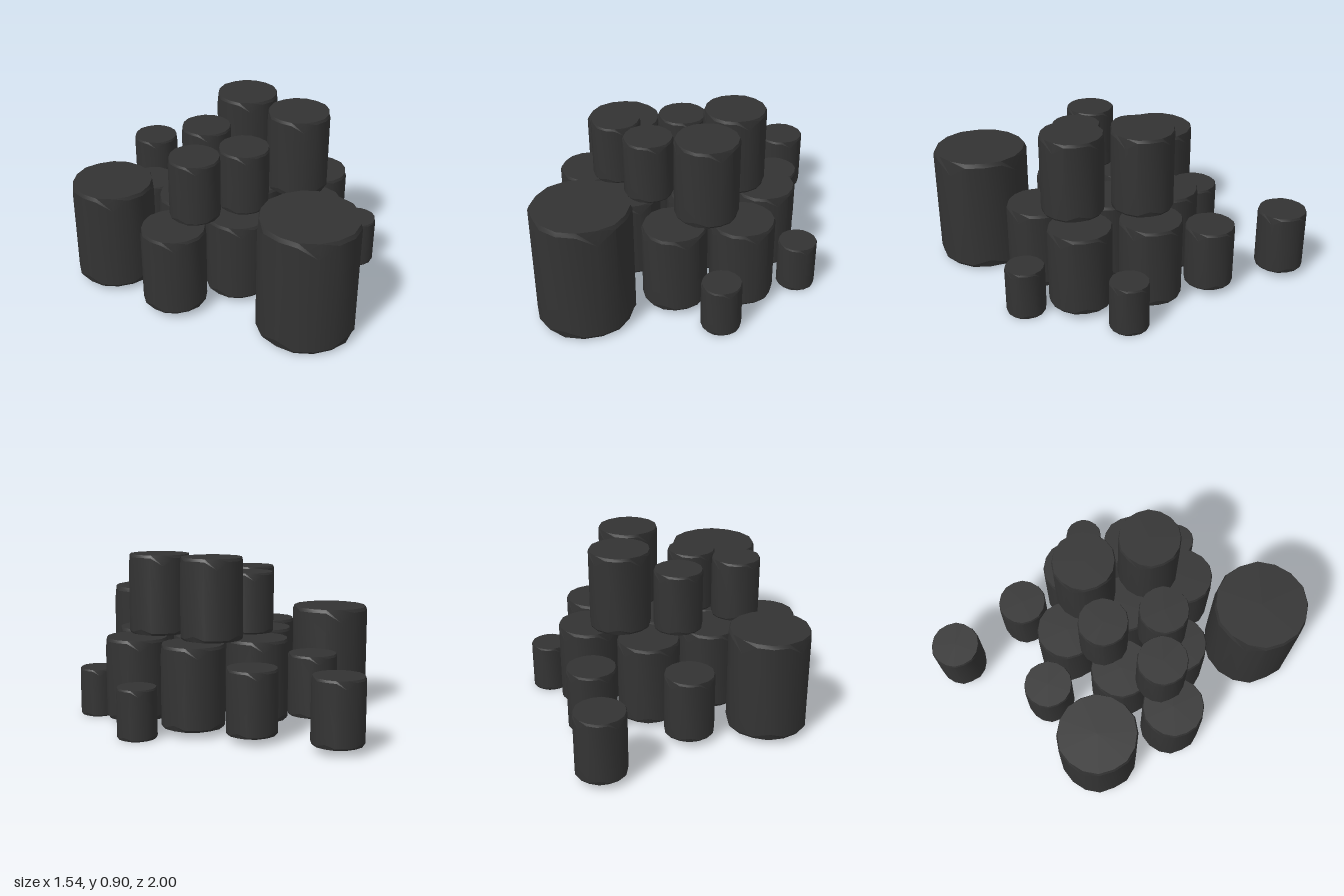
import * as THREE from 'three';
import { toCreasedNormals } from 'three/addons/utils/BufferGeometryUtils.js';

const SIDES = 16;

// Unit canister (radius 1, height 1): worn rims, with dents running down from the top edge
function canisterGeometry() {
  const profile = [[0, 0], [0.96, 0], [1, 0.025], [1, 0.965], [0.965, 1], [0, 1]]
    .map(([x, y]) => new THREE.Vector2(x, y));
  const geo = new THREE.LatheGeometry(profile, SIDES);
  const pos = geo.attributes.position;
  const n = profile.length;
  for (let k = 0; k < pos.count; k++) {
    const i = Math.floor(k / n) % SIDES;
    const j = k % n;
    // slightly irregular outline
    const wobble = 1 + 0.012 * Math.sin(i * 2.4 + 1);
    pos.setX(k, pos.getX(k) * wobble);
    pos.setZ(k, pos.getZ(k) * wobble);
    // four dents at the upper rim, smaller chips at the lower one
    if (j === 3 && i % 4 === 2) pos.setY(k, 0.87);
    if (j === 2 && i % 4 === 0) pos.setY(k, 0.07);
  }
  return toCreasedNormals(geo, 0.5);
}

export function createModel() {
  const model = new THREE.Group();
  const material = new THREE.MeshStandardMaterial({ color: 0x333333 });
  const unit = canisterGeometry();

  // kind: radius, bottom, top and the [x, z] centres
  const kinds = [
    { name: 'largeDrum', r: 0.258, y0: 0.01, y1: 0.655, at: [[-0.292, 0.738]] },
    { name: 'wideDrum', r: 0.218, y0: 0.03, y1: 0.58, at: [[-0.555, -0.36]] },
    {
      name: 'lowerCanister', r: 0.17, y0: 0.035, y1: 0.47,
      at: [[-0.565, 0.085], [-0.25, -0.08], [0.08, -0.26], [0.415, -0.08],
        [0.415, 0.297], [0.102, 0.47], [-0.25, 0.257], [0.09, 0.09]],
    },
    { name: 'upperCanister', r: 0.17, y0: 0.47, y1: 0.905, at: [[0.24, -0.075], [0.215, 0.297]] },
    {
      name: 'upperTin', r: 0.135, y0: 0.47, y1: 0.805,
      at: [[-0.395, 0.085], [-0.077, -0.107], [-0.148, 0.212]],
    },
    {
      name: 'looseTin', r: 0.135, y0: 0.037, y1: 0.375,
      at: [[0.293, -0.865], [-0.14, -0.478], [0.375, -0.42]],
    },
    { name: 'smallTin', r: 0.105, y0: 0, y1: 0.265, at: [[0.667, 0.092], [0.405, 0.59]] },
  ];

  for (const { name, r, y0, y1, at } of kinds) {
    at.forEach(([x, z], i) => {
      const mesh = new THREE.Mesh(unit, material);
      mesh.name = at.length > 1 ? `${name}${i + 1}` : name;
      mesh.scale.set(r, y1 - y0, r);
      mesh.position.set(x, y0, z);
      model.add(mesh);
    });
  }
  return model;
}
